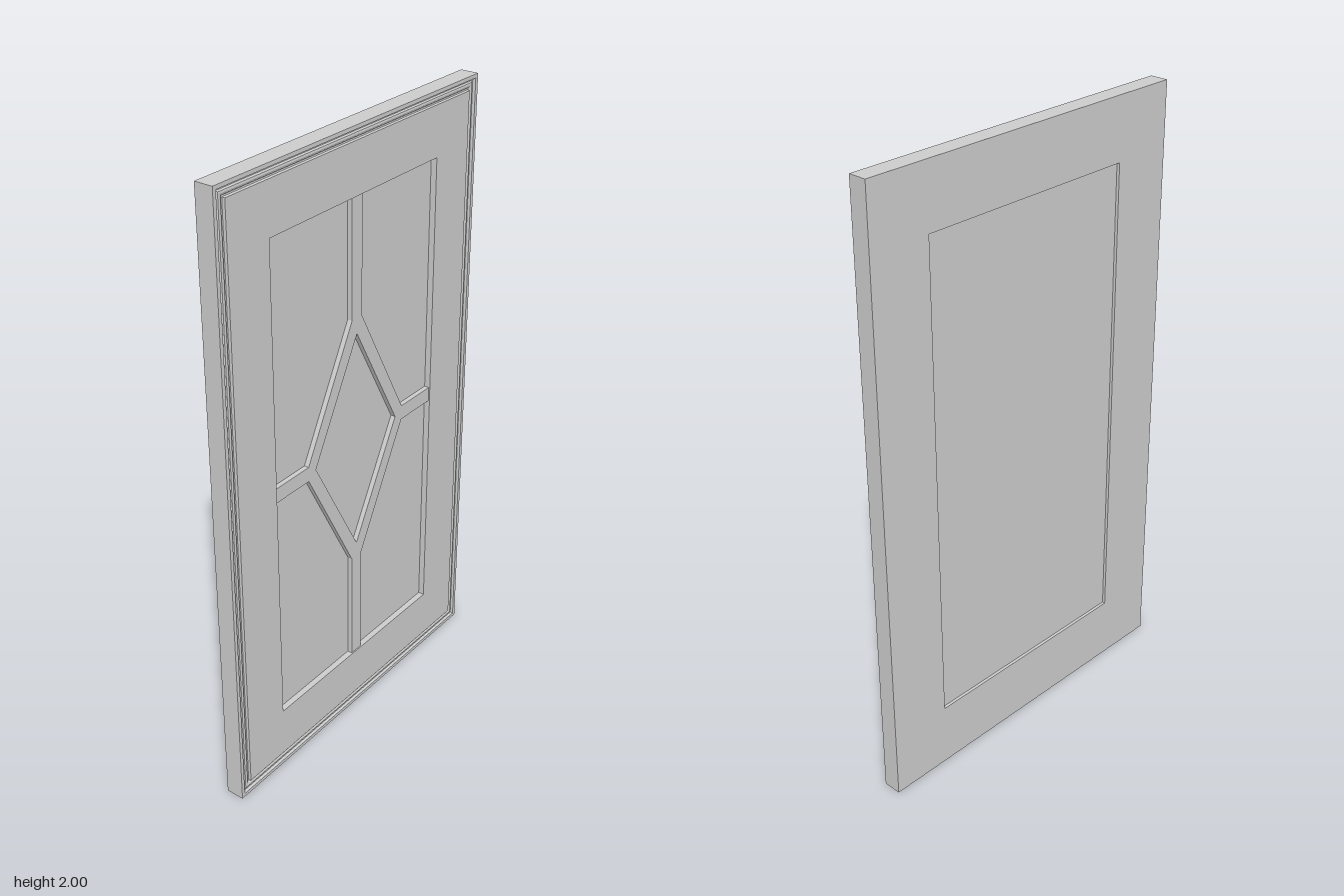
import * as THREE from 'three';

const HALF_W = 0.592, HALF_H = 1, HALF_D = 0.03;
const INSET = 0.207;              // width of the frame's rails and stiles
const SHIFT = 0.003;              // the opening sits slightly above centre
const OPEN_W = HALF_W - INSET, OPEN_H = HALF_H - INSET;
const CY = 1 + SHIFT;

const material = new THREE.MeshStandardMaterial({ color: 0xcccccc });

function add(group, geometry, name) {
  const mesh = new THREE.Mesh(geometry, material);
  mesh.name = name;
  group.add(mesh);
  return mesh;
}

// Sweeps a closed profile of [inset, z, shift] around a rectangle with mitred corners
function mitredFrame(profile) {
  const corners = [[-1, -1], [1, -1], [1, 1], [-1, 1]];
  const point = ([inset, z, shift = 0], k) => {
    const [sx, sy] = corners[k % 4];
    return [sx * (HALF_W - inset), 1 + shift + sy * (HALF_H - inset), z];
  };
  const positions = [];
  profile.forEach((a, i) => {
    const b = profile[(i + 1) % profile.length];
    for (let k = 0; k < 4; k++) {
      const p = point(a, k), q = point(a, k + 1), r = point(b, k + 1), s = point(b, k);
      positions.push(...p, ...q, ...r, ...p, ...r, ...s);
    }
  });
  const geometry = new THREE.BufferGeometry();
  geometry.setAttribute('position', new THREE.Float32BufferAttribute(positions, 3));
  geometry.computeVertexNormals();
  return geometry;
}

const vectors = (points) => points.map(([x, y]) => new THREE.Vector2(x, y));

export function createModel() {
  const door = new THREE.Group();
  door.name = 'panelDoor';

  // Outer frame: flat rim, narrow moulded groove with a bead, flat face, opening
  add(door, mitredFrame([
    [0, -HALF_D],
    [0, HALF_D],
    [0.012, HALF_D],
    [0.014, 0.021],
    [0.019, 0.021],
    [0.023, 0.025],
    [0.029, 0.026],
    [0.034, 0.024],
    [0.038, 0.02],
    [0.042, 0.021],
    [0.043, HALF_D],
    [INSET, HALF_D, SHIFT],
    [INSET, -HALF_D, SHIFT],
  ]), 'frame');

  // Recessed centre panel, its edges let into the frame
  const panel = add(door, new THREE.BoxGeometry(2 * OPEN_W + 0.02, 2 * OPEN_H + 0.02, 0.03), 'centrePanel');
  panel.position.set(0, CY, -0.005);

  // Lattice of glazing bars around a diamond
  const w = OPEN_W + 0.008, h = OPEN_H + 0.008;
  const lattice = new THREE.Shape(vectors([[-w, -h], [w, -h], [w, h], [-w, h]]));
  lattice.holes.push(new THREE.Path(vectors([[-0.2, 0], [0, -0.367], [0.2, 0], [0, 0.367]])));
  const ex = OPEN_W + 0.001, ey = OPEN_H + 0.001;
  for (const sx of [-1, 1]) {
    for (const sy of [-1, 1]) {
      const pane = [[0.024, 0.417], [0.234, 0.024], [ex, 0.024], [ex, ey], [0.024, ey]];
      lattice.holes.push(new THREE.Path(vectors(pane.map(([x, y]) => [sx * x, sy * y]))));
    }
  }
  const bars = add(door, new THREE.ExtrudeGeometry(lattice, { depth: 0.018, bevelEnabled: false }), 'glazingBars');
  bars.position.set(0, CY, 0.008);

  return door;
}
